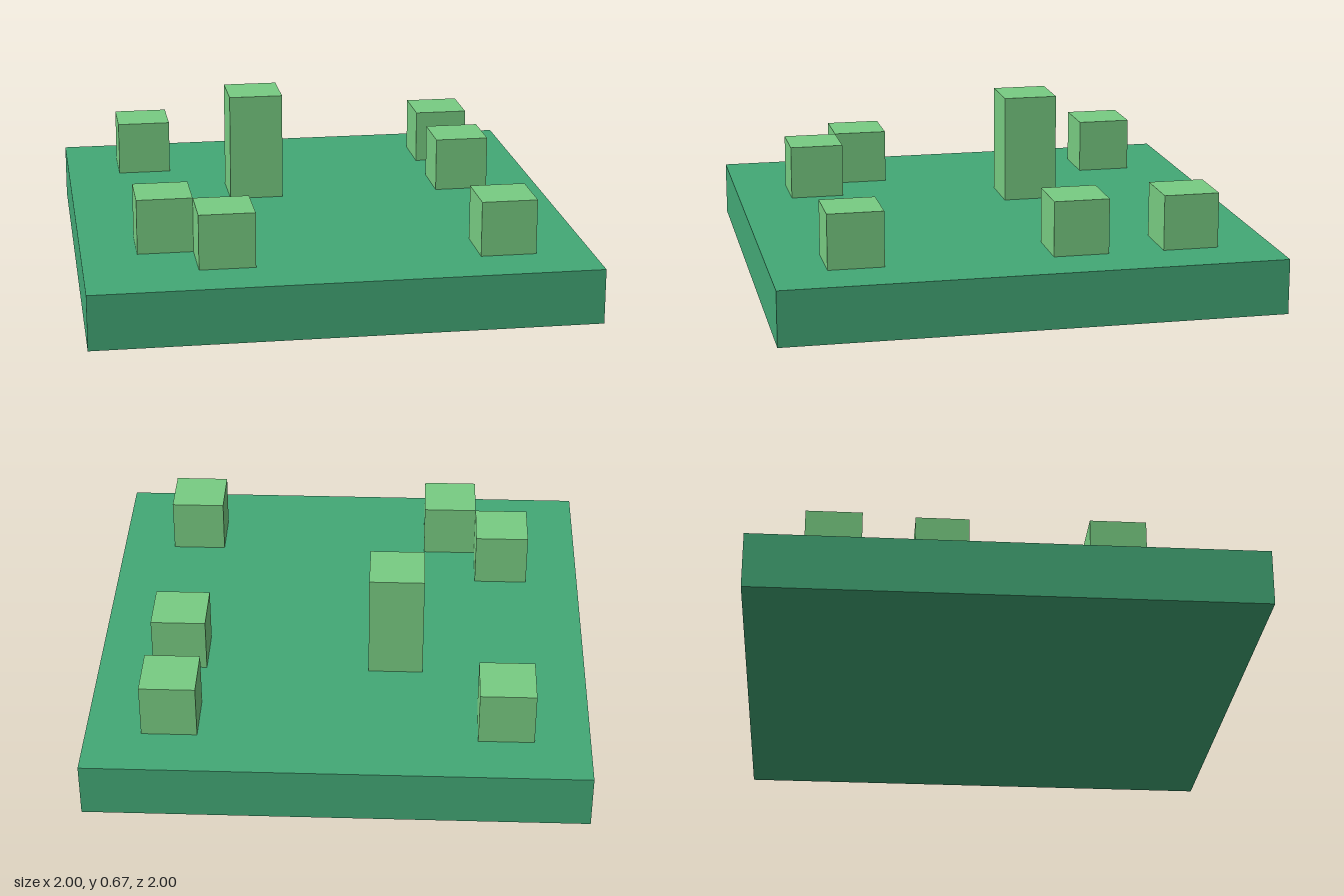
import * as THREE from 'three';

const UNIT = 2 / 9; // the slab is nine cells wide and one cell thick

export function createModel() {
  const model = new THREE.Group();
  model.name = 'grassTile';

  const ground = new THREE.MeshStandardMaterial({ name: 'ground green', color: 0x43a876 });
  const grass = new THREE.MeshStandardMaterial({ name: 'light grass green', color: 0x78cc82 });

  // Adds a box measured in cells, resting at height y
  function addBlock(name, material, x, y, z, width, height) {
    const geometry = new THREE.BoxGeometry(width * UNIT, height * UNIT, width * UNIT);
    const mesh = new THREE.Mesh(geometry, material);
    mesh.name = name;
    mesh.position.set(x * UNIT, (y + height / 2) * UNIT, z * UNIT);
    model.add(mesh);
  }

  // Ground slab
  addBlock('groundSlab', ground, 0, 0, 0, 9, 1);

  // Grass tufts: cell x, cell z, height in cells
  const tufts = [
    [-3, -3, 1],
    [3, -3, 1],
    [-1, -1, 2],
    [3, -1, 1],
    [-3, 2, 1],
    [-2, 3, 1],
    [3, 3, 1],
  ];
  tufts.forEach(([x, z, height], i) => addBlock(`grassTuft${i + 1}`, grass, x, 1, z, 1, height));

  return model;
}
